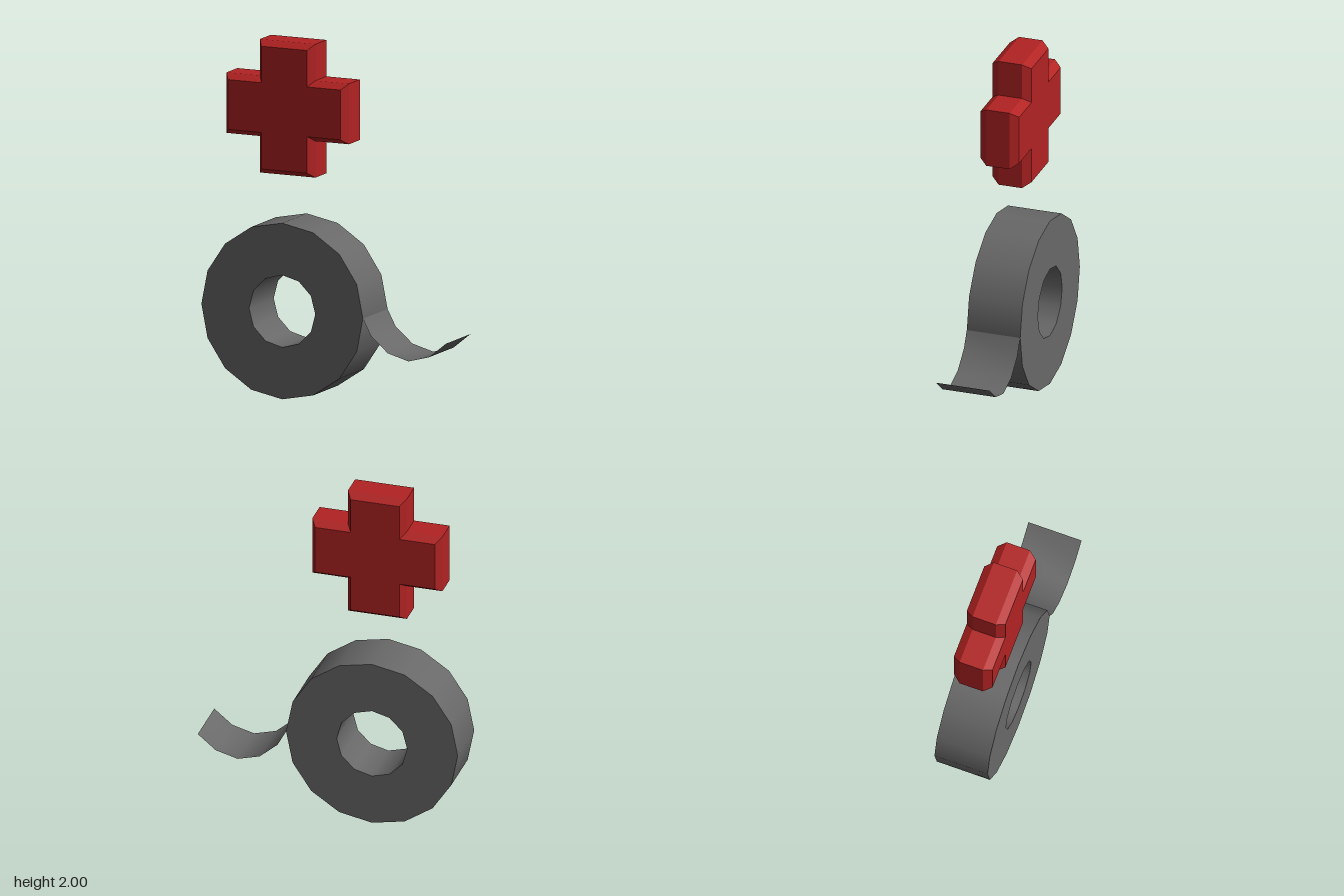
import * as THREE from 'three';

const red = new THREE.MeshStandardMaterial({ color: 0xb22222 });
red.name = 'red';
const grey = new THREE.MeshStandardMaterial({ color: 0x686868, side: THREE.DoubleSide });
grey.name = 'grey';

const CX = -0.257; // shared centre line of the cross and the roll
const WIDTH = 0.312; // tape width along z

function part(name, geometry, material) {
  const mesh = new THREE.Mesh(geometry, material);
  mesh.name = name;
  return mesh;
}

// Regular polygon with a corner on the +x axis
function polygon(radius, sides) {
  return Array.from({ length: sides }, (_, i) => {
    const a = (i / sides) * Math.PI * 2;
    return new THREE.Vector2(radius * Math.cos(a), radius * Math.sin(a));
  });
}

// Plus-shaped block with bevelled front and back edges
function createCross() {
  const l = 0.375, w = 0.17, bevel = 0.03, thick = 0.045;
  const outline = [
    [w, w], [w, l], [-w, l], [-w, w], [-l, w], [-l, -w],
    [-w, -w], [-w, -l], [w, -l], [w, -w], [l, -w], [l, w],
  ].map(([x, y]) => new THREE.Vector2(x, y));
  const geometry = new THREE.ExtrudeGeometry(new THREE.Shape(outline), {
    depth: 0.137, bevelEnabled: true, bevelSegments: 1,
    bevelSize: bevel, bevelOffset: -bevel, bevelThickness: thick,
  });
  const cross = part('cross', geometry, red);
  cross.position.set(CX, 1.625, -0.052);
  return cross;
}

// Roll: smooth outer and inner walls closed by two flat rings
function createRoll() {
  const outer = 0.495, inner = 0.203;
  const roll = new THREE.Group();
  roll.name = 'bandageRoll';
  const wall = (r, sides) =>
    new THREE.CylinderGeometry(r, r, WIDTH, sides, 1, true).rotateX(Math.PI / 2);
  roll.add(part('outerWall', wall(outer, 16), grey));
  roll.add(part('innerWall', wall(inner, 12), grey));

  const ring = new THREE.Shape(polygon(outer, 16));
  ring.holes.push(new THREE.Path(polygon(inner, 12)));
  const front = part('frontFace', new THREE.ShapeGeometry(ring), grey);
  front.position.z = WIDTH / 2;
  const back = part('backFace', new THREE.ShapeGeometry(ring), grey);
  back.position.z = -WIDTH / 2;
  back.rotation.y = Math.PI;
  roll.add(front, back);
  roll.position.set(CX, 0.497, 0);
  return roll;
}

// Loose end: a flat strip bent along a sagging profile
function createTail() {
  const profile = [[0.238, 0.497], [0.287, 0.405], [0.39, 0.316],
    [0.517, 0.281], [0.643, 0.315], [0.747, 0.4]];
  const n = profile.length;
  const geometry = new THREE.PlaneGeometry(1, WIDTH, n - 1, 1).rotateX(-Math.PI / 2);
  const pos = geometry.attributes.position;
  for (let i = 0; i < pos.count; i++) {
    const [x, y] = profile[i % n];
    pos.setXY(i, x, y);
  }
  geometry.computeVertexNormals();
  return part('looseEnd', geometry, grey);
}

export function createModel() {
  const model = new THREE.Group();
  model.name = 'bandageWithCross';
  model.add(createCross(), createRoll(), createTail());
  return model;
}
